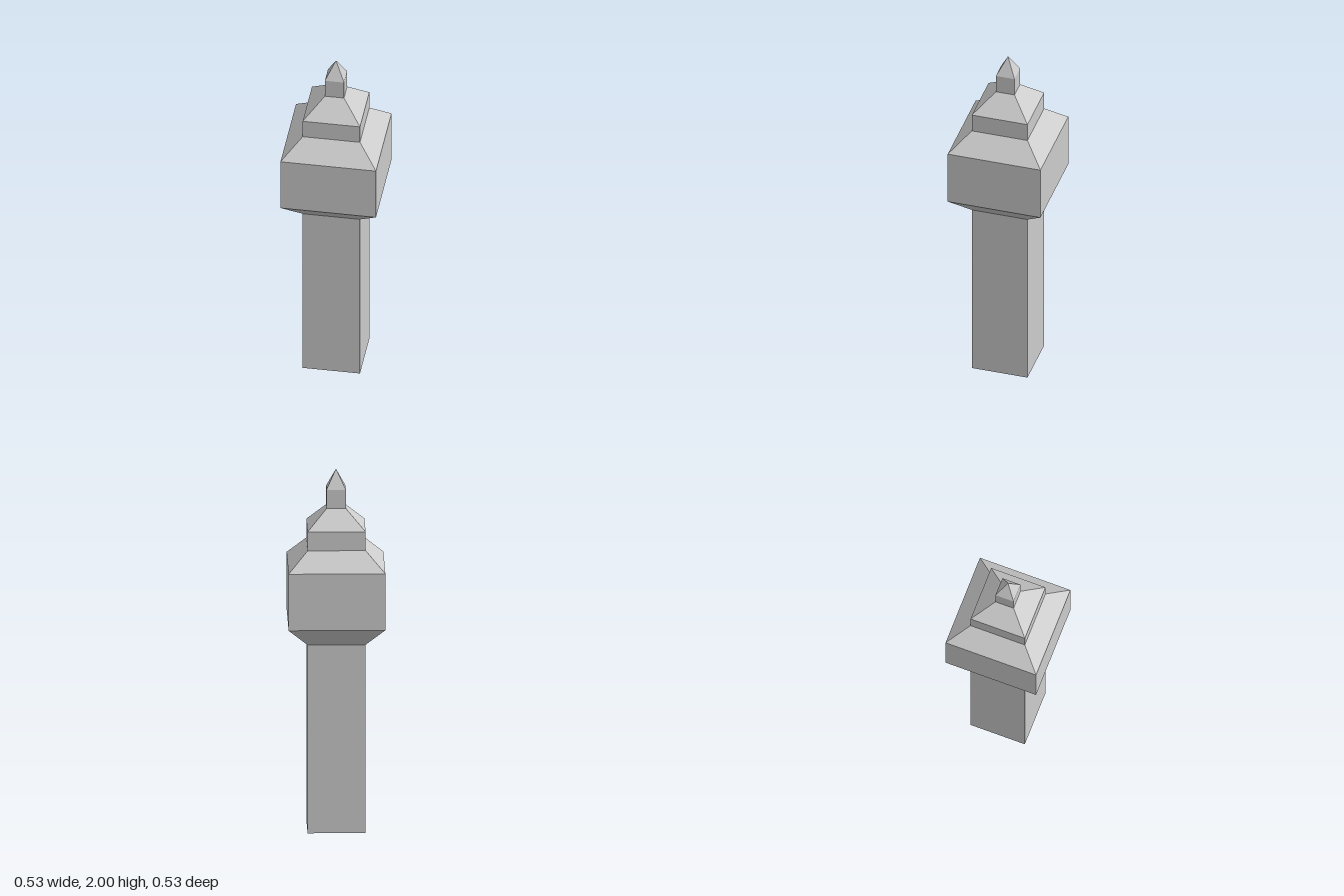
import * as THREE from 'three';

const U = 2 / 38; // the whole tower sits on a grid of 38 units in height

// Square tier: half-widths and heights in grid units
function tier(name, bottom, top, y0, y1, material, open = true) {
  const h = (y1 - y0) * U;
  const indexed = new THREE.CylinderGeometry(
    top * U * Math.SQRT2, bottom * U * Math.SQRT2, h, 4, 1, open);
  indexed.rotateY(Math.PI / 4);
  indexed.translate(0, y0 * U + h / 2, 0);
  const geometry = indexed.toNonIndexed();
  geometry.computeVertexNormals(); // crisp flat faces
  const mesh = new THREE.Mesh(geometry, material);
  mesh.name = name;
  return mesh;
}

export function createModel() {
  const stone = new THREE.MeshStandardMaterial({ color: 0xcccccc, name: 'pale stone' });
  const tower = new THREE.Group();
  tower.name = 'tower';

  // name, lower half-width, upper half-width, lower height, upper height
  const tiers = [
    ['shaft', 3, 3, 0, 20],
    ['corbel', 3, 5, 20, 22],
    ['chamber', 5, 5, 22, 28],
    ['lowerRoof', 5, 3, 28, 30],
    ['lantern', 3, 3, 30, 32],
    ['upperRoof', 3, 1, 32, 34],
    ['finialPost', 1, 1, 34, 36],
    ['finialTip', 1, 0, 36, 38],
  ];
  for (const [name, b, t, y0, y1] of tiers) {
    // only the shaft needs a closed underside
    tower.add(tier(name, b, t, y0, y1, stone, name !== 'shaft'));
  }
  return tower;
}
